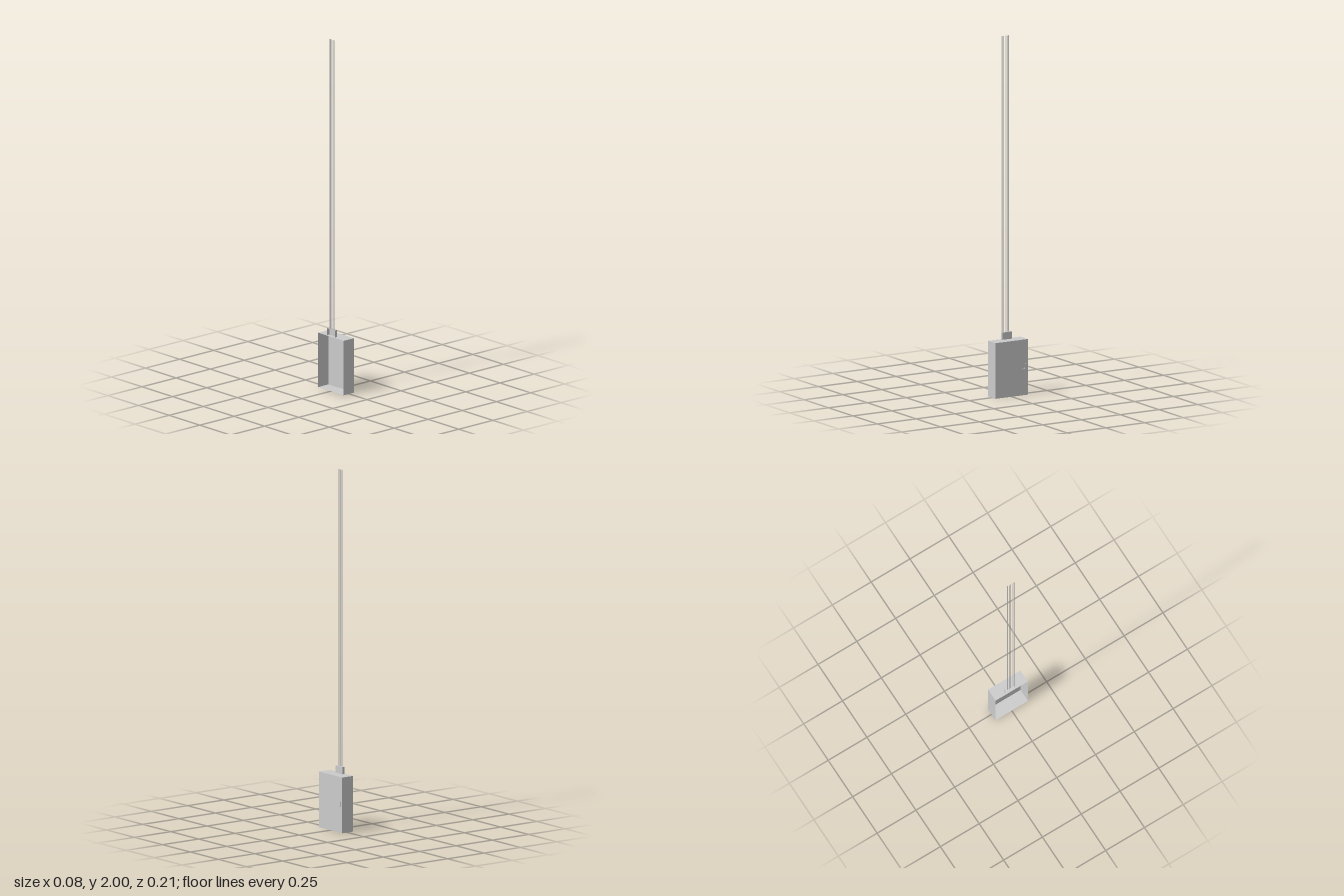
import * as THREE from 'three';

const material = new THREE.MeshStandardMaterial({ color: 0xcccccc, flatShading: true, side: THREE.DoubleSide });

function addMesh(parent, name, geometry, x, y, z) {
  const mesh = new THREE.Mesh(geometry, material);
  mesh.name = name;
  mesh.position.set(x, y, z);
  parent.add(mesh);
}

// Thin sheet box without its -x side, which sits against the wall
function openBackBox(w, h, d) {
  const geometry = new THREE.BoxGeometry(w, h, d);
  const index = Array.from(geometry.index.array);
  index.splice(6, 6);
  geometry.setIndex(index);
  geometry.clearGroups();
  return geometry;
}

// Hooked latch: an upright stem curving into a foot, drawn around its centre
function latchGeometry() {
  const shape = new THREE.Shape();
  shape.moveTo(0.0095, 0.015);
  shape.lineTo(0.0035, 0.015);
  shape.lineTo(0.0035, -0.005);
  shape.quadraticCurveTo(0.0035, -0.009, -0.001, -0.009);
  shape.lineTo(-0.0095, -0.009);
  shape.lineTo(-0.0095, -0.015);
  shape.lineTo(0, -0.015);
  shape.quadraticCurveTo(0.0095, -0.015, 0.0095, -0.006);
  return new THREE.ExtrudeGeometry(shape, { depth: 0.004, bevelEnabled: false, curveSegments: 4 })
    .rotateY(Math.PI / 2);
}

export function createModel() {
  const model = new THREE.Group();
  model.name = 'wallBoxWithCables';

  // Housing and the collar where the cables enter
  addMesh(model, 'housing', openBackBox(0.076, 0.31, 0.209), -0.002, 0.155, 0);
  addMesh(model, 'cableCollar', openBackBox(0.015, 0.04, 0.062), -0.0265, 0.33, -0.005);

  // Latch on the door
  addMesh(model, 'latch', latchGeometry(), 0.036, 0.159, -0.0805);

  // Row of thin cables running up the wall
  const cables = new THREE.Group();
  cables.name = 'cables';
  model.add(cables);
  const cable = new THREE.CylinderGeometry(0.002, 0.002, 1.65, 6);
  for (let i = 0; i < 5; i++) {
    addMesh(cables, 'cable', cable, -0.032, 1.175, 0.0195 - i * 0.0105);
  }
  return model;
}
